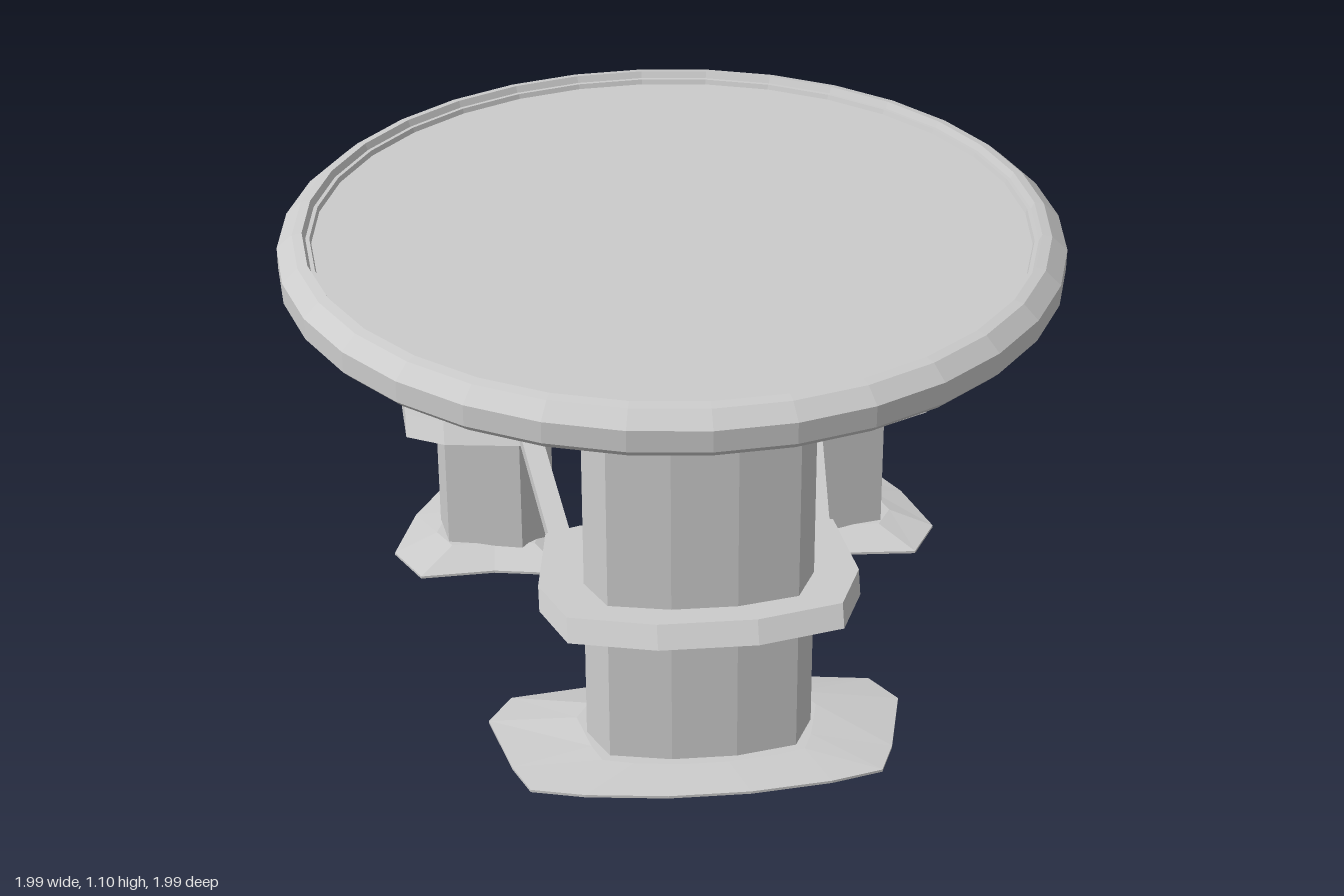
import * as THREE from 'three';

const material = new THREE.MeshStandardMaterial({ color: 0xcccccc, flatShading: true });

// Joins closed loops of [x, y, z] points, listed from bottom to top, and caps both ends
function loft(name, loops) {
  const n = loops[0].length;
  let area = 0;
  loops[0].forEach((a, i) => {
    const b = loops[0][(i + 1) % n];
    area += a[0] * b[2] - b[0] * a[2];
  });
  const rings = area > 0 ? loops.map((l) => [...l].reverse()) : loops;
  const pos = [];
  const tri = (a, b, c) => pos.push(...a, ...b, ...c);
  const centre = (l) => [0, 1, 2].map((k) => l.reduce((s, p) => s + p[k], 0) / n);
  const low = rings[0], high = rings[rings.length - 1];
  const c0 = centre(low), c1 = centre(high);
  for (let i = 0; i < n; i++) {
    const j = (i + 1) % n;
    for (let r = 0; r < rings.length - 1; r++) {
      const a = rings[r], b = rings[r + 1];
      tri(a[i], a[j], b[j]);
      tri(a[i], b[j], b[i]);
    }
    tri(c0, low[j], low[i]);
    tri(c1, high[i], high[j]);
  }
  const geo = new THREE.BufferGeometry();
  geo.setAttribute('position', new THREE.Float32BufferAttribute(pos, 3));
  geo.computeVertexNormals();
  const mesh = new THREE.Mesh(geo, material);
  mesh.name = name;
  return mesh;
}

// Places an outline of [x, z] pairs at a height, scaled about a centre and shifted in z
function at(outline, y, { scale = 1, centre = [0, 0], dz = 0 } = {}) {
  return outline.map(([x, z]) => [
    centre[0] + (x - centre[0]) * scale,
    typeof y === 'function' ? y(z) : y,
    centre[1] + (z - centre[1]) * scale + dz,
  ]);
}

const mirror = (pts) => pts.map(([x, z]) => [-x, z]);
const symmetric = (half) => [...half, ...mirror(half).reverse()];

// One leg with its collar plate and spreading foot
function support(name, s) {
  const g = new THREE.Group();
  g.name = name;
  const c = s.centre;
  g.add(loft('leg', [at(s.leg, 0.02), at(s.leg, 0.975, { dz: -0.04 })]));
  g.add(loft('collar', [at(s.collar, 0.43, { dz: 0.015 }), at(s.collar, 0.48, { dz: -0.02 })]));
  g.add(loft('foot', [
    at(s.foot, s.footY),
    at(s.foot, (z) => s.footY(z) + 0.007),
    at(s.foot, 0.05, { scale: 0.58, centre: c }),
  ]));
  g.add(loft('footPad', [
    at(s.leg, 0, { scale: 0.8, centre: c }),
    at(s.leg, 0.03, { scale: 0.8, centre: c }),
  ]));
  return g;
}

// Flat bar between two [x, z] points
function brace(a, b) {
  const dx = b[0] - a[0], dz = b[1] - a[1];
  const mesh = new THREE.Mesh(new THREE.BoxGeometry(Math.hypot(dx, dz), 0.036, 0.055), material);
  mesh.position.set((a[0] + b[0]) / 2, 0.455, (a[1] + b[1]) / 2);
  mesh.rotation.y = -Math.atan2(dz, dx);
  mesh.name = 'brace';
  return mesh;
}

export function createModel() {
  const model = new THREE.Group();
  model.name = 'roundTable';

  // Top with a shallow domed underside and a raised rim
  const profile = [
    [0, 0.92], [0.22, 0.922], [0.5, 0.94], [0.8, 0.962], [0.9, 0.975], [0.975, 0.985],
    [0.995, 1.005], [0.995, 1.06], [0.955, 1.095], [0.93, 1.1], [0.922, 1.083],
    [0.912, 1.083], [0.908, 1.07], [0, 1.07],
  ].map(([r, y]) => new THREE.Vector2(r, y));
  const top = new THREE.Mesh(new THREE.LatheGeometry(profile, 32), material);
  top.name = 'tableTop';
  model.add(top);

  // Wide front support
  model.add(support('frontSupport', {
    centre: [0, 0.73],
    leg: symmetric([[0.08, 0.86], [0.23, 0.83], [0.28, 0.73], [0.22, 0.63], [0.1, 0.58]]),
    collar: symmetric([[0.12, 0.92], [0.33, 0.87], [0.39, 0.73], [0.36, 0.5], [0.27, 0.47], [0.1, 0.52]]),
    foot: symmetric([[0.1, 0.99], [0.3, 0.965], [0.43, 0.93], [0.47, 0.83], [0.52, 0.62], [0.46, 0.52], [0.2, 0.48]]),
    footY: (z) => 0.005 + 0.055 * (z - 0.48),
  }));

  // Pair of back supports
  const leg = [[0.4, -0.13], [0.6, -0.17], [0.62, -0.29], [0.55, -0.41], [0.45, -0.43], [0.32, -0.32], [0.31, -0.2]];
  const collar = [[0.36, -0.04], [0.6, -0.07], [0.7, -0.12], [0.71, -0.28], [0.62, -0.49], [0.55, -0.53],
    [0.44, -0.51], [0.33, -0.36], [0.29, -0.23], [0.3, -0.12]];
  const foot = [[0.29, -0.04], [0.48, -0.07], [0.68, -0.06], [0.75, -0.18], [0.69, -0.36], [0.59, -0.53],
    [0.45, -0.51], [0.31, -0.36], [0.25, -0.2]];
  for (const side of [1, -1]) {
    const flip = (pts) => (side > 0 ? pts : mirror(pts));
    model.add(support(side > 0 ? 'backLeftSupport' : 'backRightSupport', {
      centre: [0.47 * side, -0.28],
      leg: flip(leg),
      collar: flip(collar),
      foot: flip(foot),
      footY: (z) => 0.006 + 0.03 * (-0.04 - z),
    }));
    // Bar from the front collar to this back collar
    model.add(brace([0.32 * side, 0.52], [0.38 * side, -0.1]));
  }
  // Bar between the back collars
  model.add(brace([-0.34, -0.23], [0.34, -0.23]));

  return model;
}
